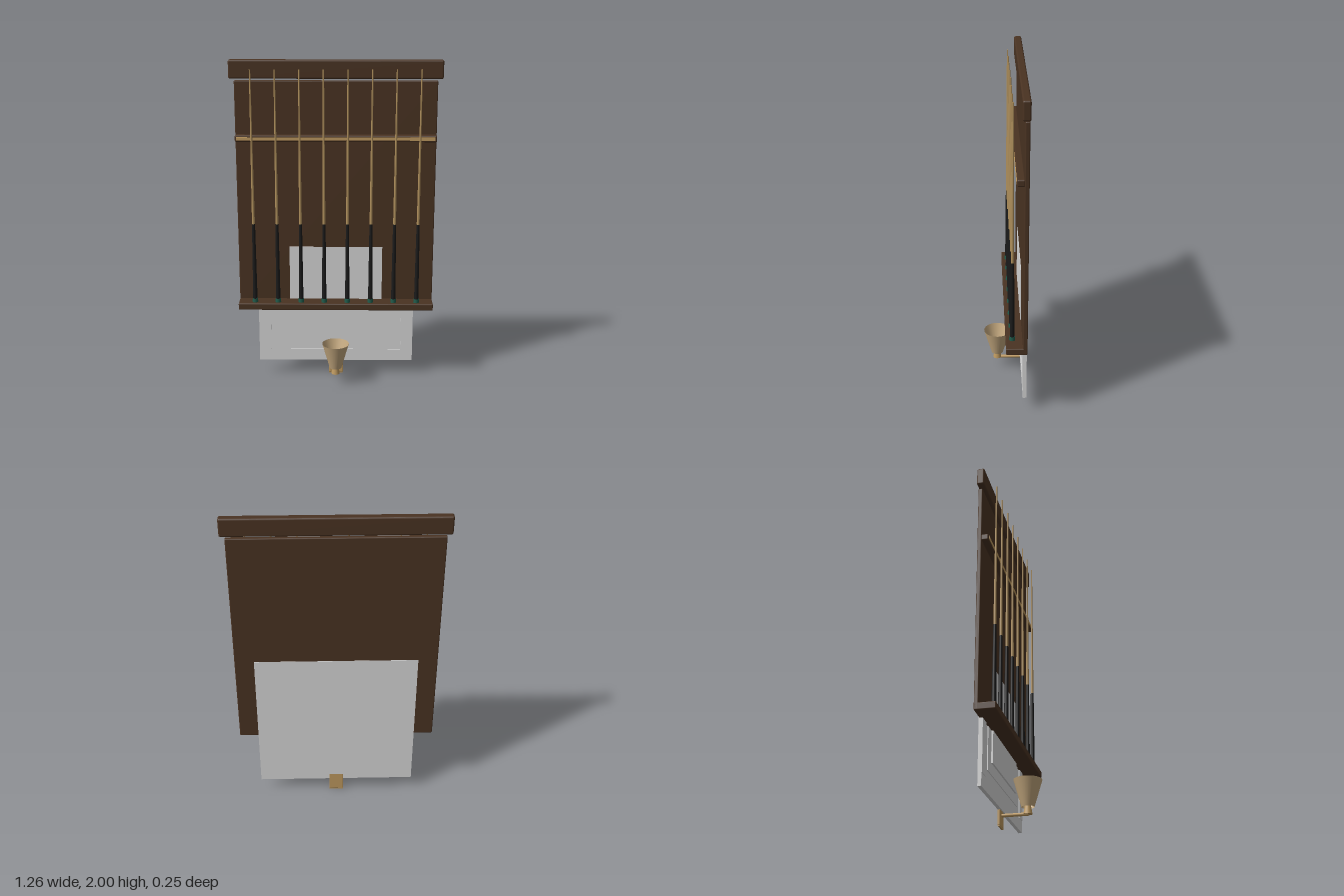
import * as THREE from 'three';
import { RoundedBoxGeometry } from 'three/addons/geometries/RoundedBoxGeometry.js';

const mat = (name, color, extra = {}) => {
  const m = new THREE.MeshStandardMaterial({ color, ...extra });
  m.name = name;
  return m;
};

export function createModel() {
  const wood = mat('dark wood', 0x4a3322);
  const paint = mat('white paint', 0xd8d8d8);
  const brass = mat('brass', 0xbf9a60);
  const maple = mat('maple', 0xb0905c);
  const wrap = mat('black wrap', 0x1a1a1a);
  const rubber = mat('green rubber', 0x1f5a4a);
  const shadeMat = mat('lamp shade', 0xc6aa80, { side: THREE.DoubleSide });

  const model = new THREE.Group();
  model.name = 'wallCueRack';

  const add = (parent, name, geometry, material, x = 0, y = 0, z = 0) => {
    const mesh = new THREE.Mesh(geometry, material);
    mesh.name = name;
    mesh.position.set(x, y, z);
    parent.add(mesh);
    return mesh;
  };
  // Box given by its extents; a radius rounds the edges
  const box = (parent, name, material, [x0, x1], [y0, y1], [z0, z1], r = 0) => {
    const s = [x1 - x0, y1 - y0, z1 - z0];
    const g = r ? new RoundedBoxGeometry(...s, 2, r) : new THREE.BoxGeometry(...s);
    return add(parent, name, g, material, (x0 + x1) / 2, (y0 + y1) / 2, (z0 + z1) / 2);
  };

  // Wooden rack
  const rack = new THREE.Group();
  rack.name = 'rack';
  model.add(rack);
  box(rack, 'backBoard', wood, [-0.6, 0.6], [0.475, 1.878], [-0.122, -0.096], 0.006);
  box(rack, 'topCap', wood, [-0.63, 0.63], [1.89, 2], [-0.125, -0.08], 0.01);
  box(rack, 'shelf', wood, [-0.6, 0.6], [0.475, 0.517], [-0.122, 0], 0.006);
  box(rack, 'holdingRail', wood, [-0.6, 0.6], [1.52, 1.56], [-0.1, -0.056], 0.008);
  box(rack, 'railStrip', brass, [-0.59, 0.59], [1.531, 1.549], [-0.06, -0.053]);

  // Eight cues standing on the shelf
  for (let i = 0; i < 8; i++) {
    const cue = new THREE.Group();
    cue.name = 'cue';
    cue.position.set((i - 3.5) * 0.1425, 0, -0.037);
    const section = (name, rTop, rBottom, y0, y1, material) =>
      add(cue, name, new THREE.CylinderGeometry(rTop, rBottom, y1 - y0, 12), material, 0, (y0 + y1) / 2, 0);
    section('bumper', 0.016, 0.018, 0.516, 0.54, rubber);
    section('grip', 0.0095, 0.0135, 0.54, 1.02, wrap);
    section('shaft', 0.004, 0.009, 1.02, 1.95, maple);
    model.add(cue);
  }

  // Painted panel with frame, step and raised centre, set behind the board
  const panel = new THREE.Group();
  panel.name = 'wallPanel';
  model.add(panel);
  box(panel, 'panelSlab', paint, [-0.485, 0.485], [0.095, 1.05], [-0.124, -0.108]);
  for (const [y0, y1] of [[0.095, 0.17], [0.975, 1.05]])
    box(panel, 'panelRail', paint, [-0.485, 0.485], [y0, y1], [-0.11, -0.103]);
  for (const s of [-1, 1])
    box(panel, 'panelStile', paint, [s * 0.4475 - 0.0375, s * 0.4475 + 0.0375], [0.17, 0.975], [-0.11, -0.1]);
  box(panel, 'panelStep', paint, [-0.355, 0.355], [0.222, 0.923], [-0.11, -0.103]);
  box(panel, 'raisedPanel', paint, [-0.286, 0.286], [0.286, 0.857], [-0.11, -0.093]);

  // Wall lamp
  const lamp = new THREE.Group();
  lamp.name = 'wallLamp';
  model.add(lamp);
  box(lamp, 'wallPlate', brass, [-0.045, 0.045], [0.005, 0.135], [-0.1245, -0.11], 0.004);
  box(lamp, 'wallPlateFoot', brass, [-0.043, 0.043], [0, 0.02], [-0.123, -0.112]);
  add(lamp, 'arm', new THREE.CylinderGeometry(0.01, 0.01, 0.155, 12), brass, 0, 0.07, -0.035).rotation.x = Math.PI / 2;
  add(lamp, 'socket', new THREE.CylinderGeometry(0.018, 0.026, 0.047, 16), brass, 0, 0.0935, 0.04);
  add(lamp, 'shade', new THREE.CylinderGeometry(0.083, 0.037, 0.16, 24, 1, true), shadeMat, 0, 0.19, 0.04);

  return model;
}
